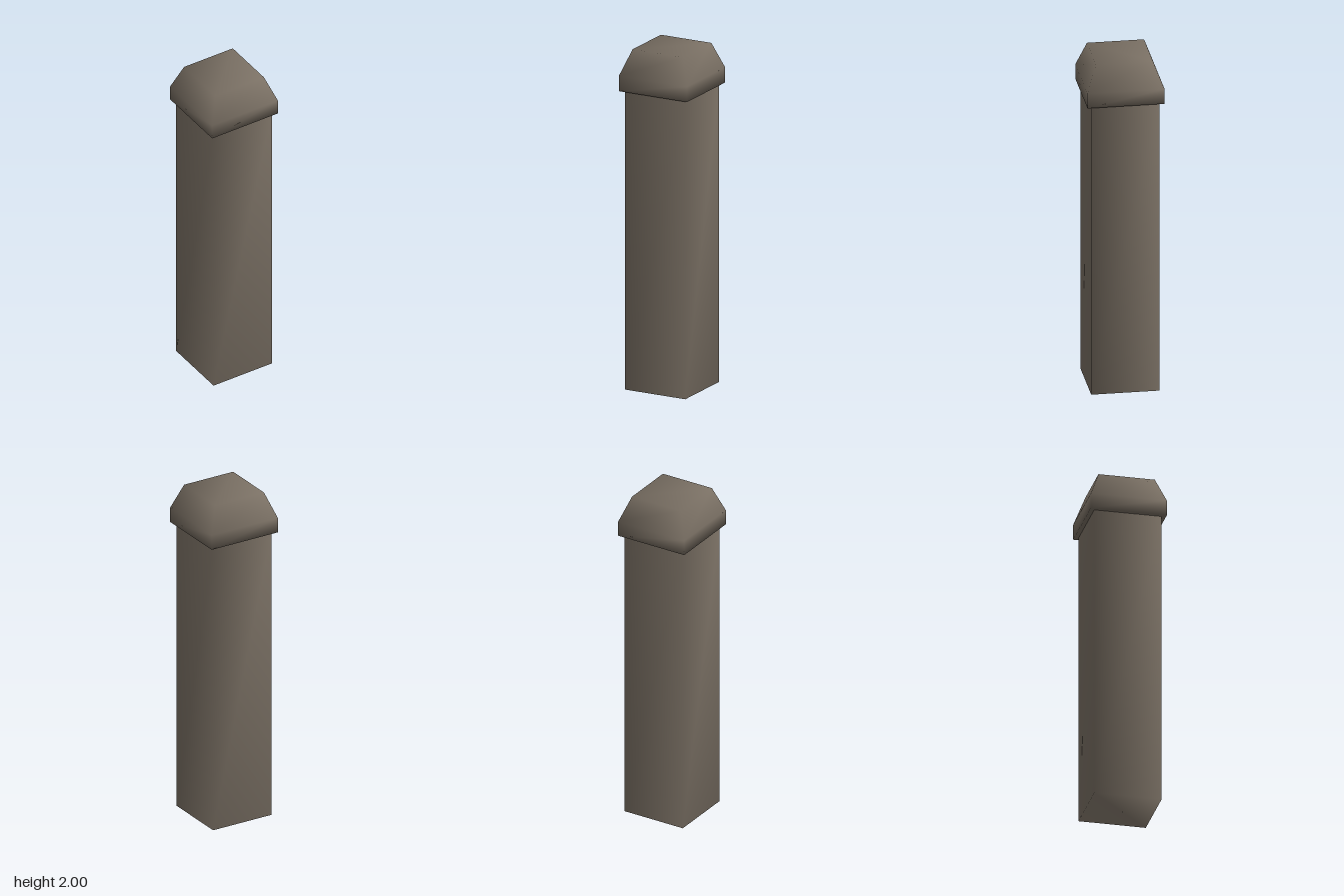
import * as THREE from 'three';
import { mergeVertices } from 'three/addons/utils/BufferGeometryUtils.js';

// Weld the corners so that the shading runs smoothly around them
function weld(geometry) {
  geometry.deleteAttribute('normal');
  geometry.deleteAttribute('uv');
  const welded = mergeVertices(geometry);
  welded.computeVertexNormals();
  return welded;
}

export function createModel() {
  const model = new THREE.Group();
  model.name = 'post';
  const stone = new THREE.MeshStandardMaterial({ color: 0x7a7064 });
  stone.name = 'stone';

  // Square shaft
  const shaftHeight = 1.76;
  const shaft = new THREE.Mesh(weld(new THREE.BoxGeometry(0.39, shaftHeight, 0.39)), stone);
  shaft.name = 'shaft';
  shaft.position.y = shaftHeight / 2;
  model.add(shaft);

  // Overhanging cap: an upright band, then a taper to a flat top
  const rings = [
    { y: 1.76, half: 0.22 },
    { y: 1.85, half: 0.22 },
    { y: 2.0, half: 0.163 },
  ];
  const capGeometry = new THREE.BoxGeometry(2, 2, 2, 1, 2, 1);
  const p = capGeometry.attributes.position;
  for (let i = 0; i < p.count; i++) {
    const { y, half } = rings[Math.round(p.getY(i)) + 1];
    p.setXYZ(i, p.getX(i) * half, y, p.getZ(i) * half);
  }
  const cap = new THREE.Mesh(weld(capGeometry), stone);
  cap.name = 'cap';
  model.add(cap);

  return model;
}
